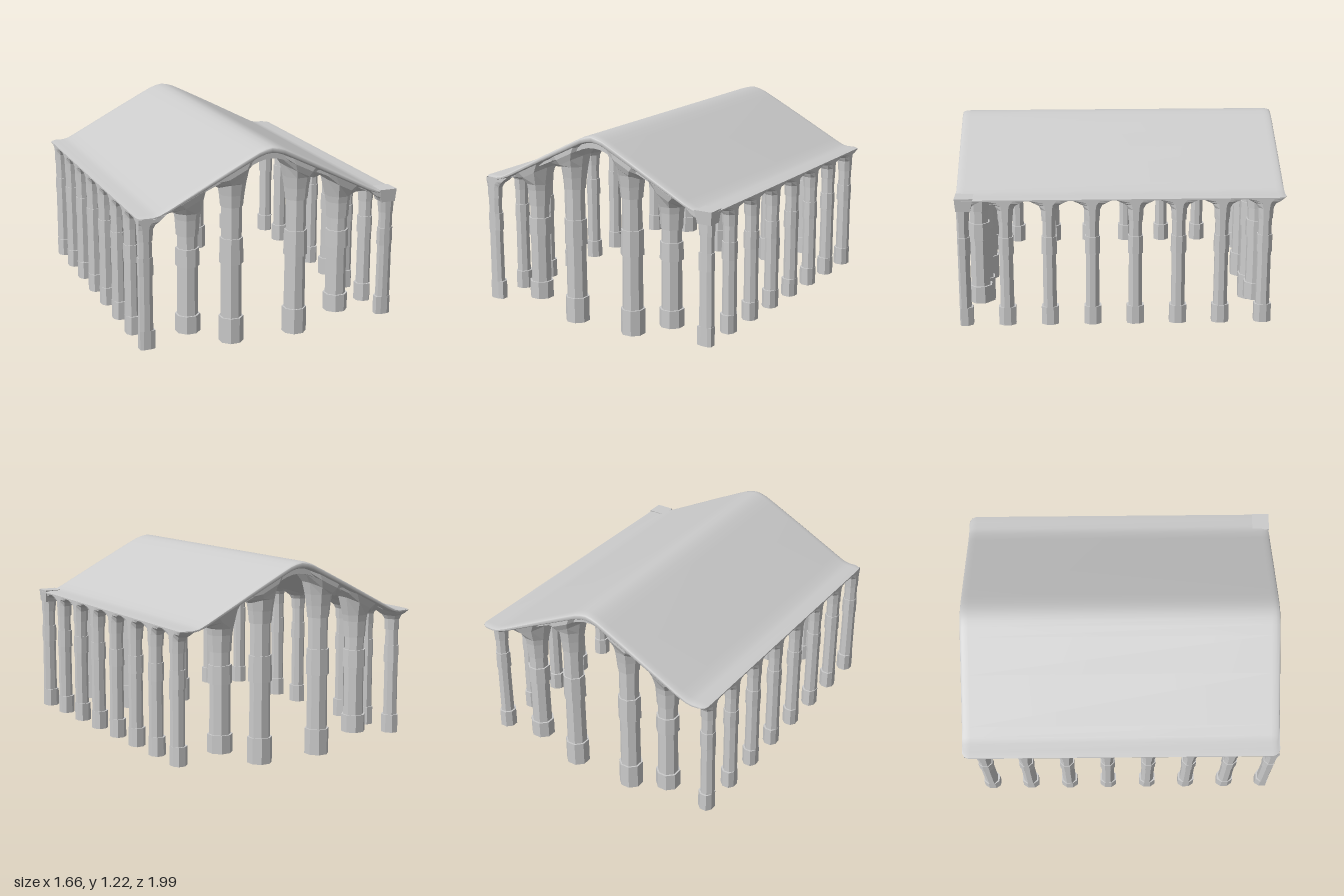
import * as THREE from 'three';
import { toCreasedNormals } from 'three/addons/utils/BufferGeometryUtils.js';

const smooth = new THREE.MeshStandardMaterial({ color: 0xcccccc });
const flat = new THREE.MeshStandardMaterial({ color: 0xcccccc, flatShading: true, side: THREE.DoubleSide });

// Half of the gable profile: x, upper y, lower y
const PROFILE = [
  [0, 1.22, 1.175], [0.04, 1.213, 1.17], [0.08, 1.2, 1.157], [0.14, 1.171, 1.128],
  [0.35, 1.065, 1.025], [0.64, 0.915, 0.88], [0.70, 0.885, 0.858],
  [0.74, 0.876, 0.852], [0.79, 0.876, 0.856], [0.83, 0.87, 0.862],
];

function under(x) {
  x = Math.min(Math.abs(x), 0.829);
  const i = PROFILE.findIndex((p) => p[0] > x);
  const a = PROFILE[i - 1], b = PROFILE[i];
  return a[2] + (b[2] - a[2]) * (x - a[0]) / (b[0] - a[0]);
}

const mirrorProfile = (half) => [...half.slice(1).reverse().map(([x, t, b]) => [-x, t, b]), ...half];

// Sweeps a slab profile along z; stations are [z, x limit, edge inset]
function slab(profile, stations) {
  const n = profile.length, pos = [], idx = [];
  for (const [z, limit, inset] of stations) {
    const clamp = (x) => THREE.MathUtils.clamp(x, -limit, limit);
    profile.forEach(([x, t, b]) => pos.push(clamp(x), t - Math.min(inset, (t - b) / 3), z));
    profile.forEach(([x, t, b]) => pos.push(clamp(x), b + Math.min(inset, (t - b) / 3), z));
  }
  const quad = (a, b, c, d) => idx.push(a, b, c, a, c, d);
  for (let s = 0; s < stations.length - 1; s++) {
    const o = s * 2 * n, q = o + 2 * n;
    for (let i = 0; i < n - 1; i++) {
      quad(o + i, q + i, q + i + 1, o + i + 1);
      quad(o + n + i, o + n + i + 1, q + n + i + 1, q + n + i);
    }
    quad(o, o + n, q + n, q);
    quad(o + n - 1, q + n - 1, q + 2 * n - 1, o + 2 * n - 1);
  }
  const e = (stations.length - 1) * 2 * n;
  for (let i = 0; i < n - 1; i++) {
    quad(i, i + 1, n + i + 1, n + i);
    quad(e + i, e + n + i, e + n + i + 1, e + i + 1);
  }
  const g = new THREE.BufferGeometry();
  g.setAttribute('position', new THREE.Float32BufferAttribute(pos, 3));
  g.setIndex(idx);
  return toCreasedNormals(g, 0.6);
}

// Eight-sided column; the last rings are [radius, gap below the roof]
function column(name, x, z, body, flare) {
  const k = 1 / Math.cos(Math.PI / 8);
  const points = [[0, body[0][1]], ...body, ...flare.map(([r]) => [r, 1])]
    .map(([r, y]) => new THREE.Vector2(r * k, y));
  const g = new THREE.LatheGeometry(points, 8, Math.PI / 8);
  const p = g.attributes.position, first = 1 + body.length;
  for (let i = 0; i < p.count; i++) {
    const j = i % points.length;
    const px = THREE.MathUtils.clamp(p.getX(i) + x, -0.822, 0.822);
    const pz = THREE.MathUtils.clamp(p.getZ(i) + z, -0.985, 0.98);
    // Flared tops follow the slope of the roof
    const y = j >= first ? under(px) - flare[j - first][1] : p.getY(i);
    p.setXYZ(i, px, y, pz);
  }
  g.computeVertexNormals();
  const mesh = new THREE.Mesh(g, flat);
  mesh.name = name;
  return mesh;
}

// Plinth, shaft, raised band and neck
const shaft = (y0, y1, b0, b1, neck, rBase, r, rBand) => [
  [rBase, y0], [rBase, y1], [r, y1], [r * 0.97, b0], [rBand, b0],
  [rBand * 0.97, b1], [r * 0.95, b1], [r * 0.95, neck], [r * 1.05, neck],
];

export function createModel() {
  const model = new THREE.Group();

  // Roof with rounded plan corners
  const stations = [], R = 0.05;
  for (let i = 0; i <= 6; i++) {
    const a = (i / 6) * Math.PI / 2;
    stations.push([-1 + R * (1 - Math.cos(a)), 0.83 - R * (1 - Math.sin(a)), 0.012 * (1 - Math.sin(a))]);
  }
  const ends = stations.slice().reverse().map(([z, l, n]) => [-z - 0.015, l, n]);
  const roof = new THREE.Mesh(slab(mirrorProfile(PROFILE), [...stations, ...ends]), smooth);
  roof.name = 'roof';
  model.add(roof);

  // Ribs under both gable ends
  const rib = mirrorProfile(PROFILE.slice(0, 6).map(([x, , b]) => [x, b + 0.01, b - 0.033 * (1 - x / 0.7)]));
  for (const z of [0.87, -0.87]) {
    const mesh = new THREE.Mesh(slab(rib, [[z - 0.09, 1, 0], [z + 0.09, 1, 0]]), smooth);
    mesh.name = z > 0 ? 'frontRib' : 'backRib';
    model.add(mesh);
  }

  const sideBody = [...shaft(0.065, 0.18, 0.52, 0.63, 0.73, 0.052, 0.041, 0.046), [0.047, 0.8]];
  const outerBody = [...shaft(0.105, 0.215, 0.52, 0.63, 0.71, 0.07, 0.059, 0.067), [0.068, 0.81], [0.074, 0.85]];
  const innerBody = [...shaft(0, 0.16, 0.5, 0.66, 0.855, 0.07, 0.06, 0.067), [0.07, 0.93], [0.08, 1.0]];
  for (const s of [-1, 1]) {
    // Eave columns
    for (let i = 0; i < 8; i++) {
      model.add(column('eaveColumn', s * 0.78, 0.95 - i * 0.261, sideBody,
        [[0.06, 0.03], [0.085, 0.016], [0.125, -0.004]]));
    }
    // Gable columns
    for (const z of [0.87, -0.87]) {
      model.add(column('outerGableColumn', s * 0.49, z, outerBody, [[0.1, 0.04], [0.17, -0.004]]));
      model.add(column('innerGableColumn', s * 0.21, z, innerBody, [[0.095, 0.065], [0.135, 0.025], [0.17, -0.004]]));
    }
  }

  // Square capital on the front left corner
  const block = new THREE.BoxGeometry(0.115, 0.08, 0.11);
  const p = block.attributes.position;
  for (let i = 0; i < p.count; i++) {
    if (p.getY(i) < 0) p.setXYZ(i, p.getX(i) * 0.8 + 0.006, p.getY(i), p.getZ(i) * 0.8 + 0.005);
  }
  const capital = new THREE.Mesh(block, flat);
  capital.position.set(0.772, 0.84, 0.933);
  capital.name = 'cornerCapital';
  model.add(capital);
  return model;
}
